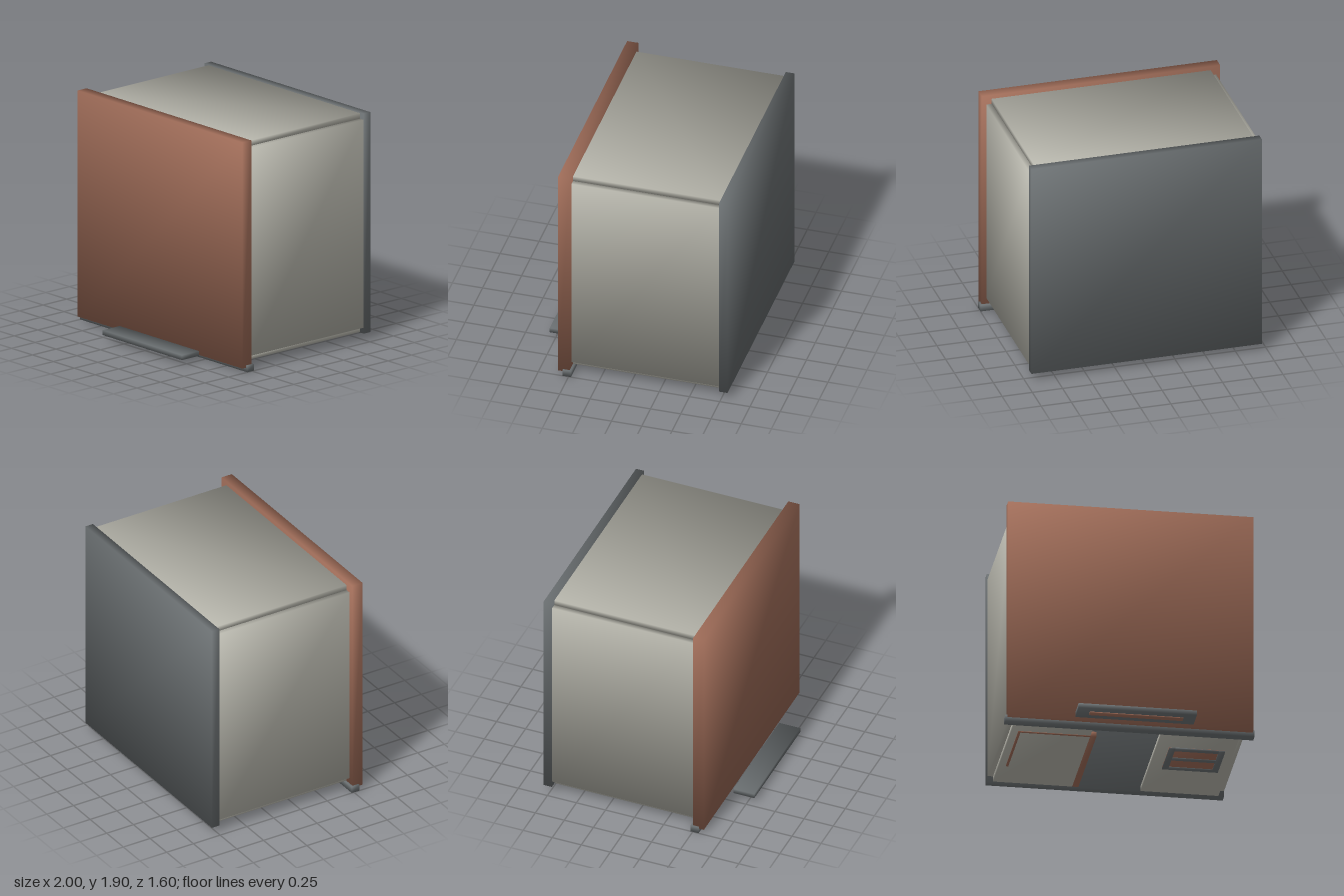
import * as THREE from 'three';

const copper = new THREE.MeshStandardMaterial({ name: 'copper', color: 0xa06d59 });
const paleGrey = new THREE.MeshStandardMaterial({ name: 'pale grey', color: 0xb8b7ad });
const darkGrey = new THREE.MeshStandardMaterial({ name: 'dark grey', color: 0x6b7072 });

// Box given by its extents, with normals averaged at the corners for soft shading
function slab(parent, name, material, [x0, x1], [y0, y1], [z0, z1]) {
  const geometry = new THREE.BoxGeometry(x1 - x0, y1 - y0, z1 - z0);
  const p = geometry.attributes.position;
  const n = geometry.attributes.normal;
  const k = 1 / Math.sqrt(3);
  for (let i = 0; i < p.count; i++) {
    n.setXYZ(i, Math.sign(p.getX(i)) * k, Math.sign(p.getY(i)) * k, Math.sign(p.getZ(i)) * k);
  }
  const mesh = new THREE.Mesh(geometry, material);
  mesh.name = name;
  mesh.position.set((x0 + x1) / 2, (y0 + y1) / 2, (z0 + z1) / 2);
  parent.add(mesh);
  return mesh;
}

function subgroup(parent, name) {
  const group = new THREE.Group();
  group.name = name;
  parent.add(group);
  return group;
}

export function createModel() {
  const model = new THREE.Group();
  model.name = 'cabinet';

  // Hollow case: two sides, a top and a floor in two halves with a gap between
  const shell = subgroup(model, 'case');
  const depth = [-0.73, 0.49];
  slab(shell, 'leftSide', paleGrey, [0.905, 0.95], [0.11, 1.83], depth);
  slab(shell, 'rightSide', paleGrey, [-0.95, -0.905], [0.11, 1.83], depth);
  slab(shell, 'top', paleGrey, [-0.905, 0.905], [1.83, 1.875], depth);
  slab(shell, 'leftFloor', paleGrey, [0.28, 0.905], [0.065, 0.11], depth);
  slab(shell, 'rightFloor', paleGrey, [-0.905, -0.27], [0.065, 0.11], depth);

  // Front and back panels
  slab(model, 'frontPanel', copper, [-0.985, 0.985], [0.035, 1.905], [0.495, 0.59]);
  slab(model, 'backPanel', darkGrey, [-0.955, 0.95], [0.06, 1.88], [-0.8, -0.73]);

  // Bar below the front edge
  slab(model, 'bottomBar', darkGrey, [-1, 1], [0, 0.055], [0.48, 0.55]);

  // Pull plate in front, with a copper strip underneath
  const pull = subgroup(model, 'pull');
  slab(pull, 'pullPlate', darkGrey, [-0.45, 0.5], [0.04, 0.08], [0.62, 0.8]);
  slab(pull, 'pullStrip', copper, [-0.35, 0.4], [0.031, 0.04], [0.69, 0.74]);

  // Framed vent under the left floor
  const vent = subgroup(model, 'vent');
  slab(vent, 'ventPlate', copper, [0.38, 0.83], [0.059, 0.065], [-0.27, 0.12]);
  for (const x of [0.38, 0.78]) {
    slab(vent, 'ventEndBar', darkGrey, [x, x + 0.05], [0.05, 0.065], [-0.27, 0.12]);
  }
  for (const z of [-0.27, -0.095, 0.08]) {
    slab(vent, 'ventLongBar', darkGrey, [0.43, 0.78], [0.05, 0.065], [z, z + 0.04]);
  }

  // Copper runner and thin trim under the right floor
  const trim = subgroup(model, 'floorTrim');
  slab(trim, 'runner', copper, [-0.27, -0.22], [0.065, 0.11], [-0.73, 0.22]);
  slab(trim, 'sideTrim', copper, [-0.85, -0.83], [0.06, 0.065], [-0.42, 0.24]);
  slab(trim, 'frontTrim', copper, [-0.83, -0.27], [0.06, 0.065], [0.22, 0.24]);

  return model;
}
